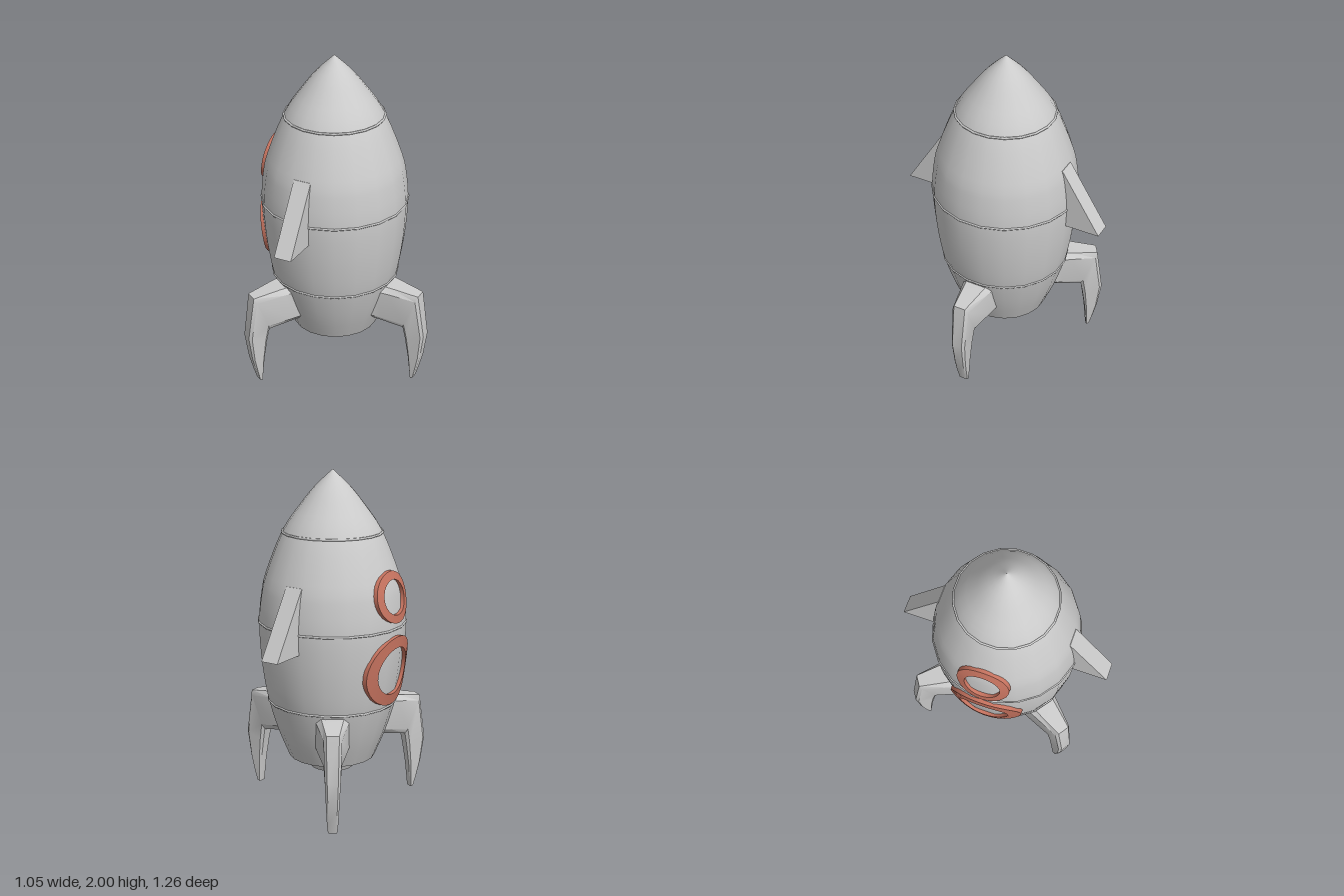
import * as THREE from 'three';
import { toCreasedNormals } from 'three/addons/utils/BufferGeometryUtils.js';

const SIDES = 20;
const HALF = Math.PI / SIDES; // turns a flat side towards the axes
const grey = new THREE.MeshStandardMaterial({ color: 0xcccccc });
const copper = new THREE.MeshStandardMaterial({ color: 0xc87460 });

// Hull outline: radius, height
const profile = new THREE.SplineCurve([
  [0.255, 0.3], [0.32, 0.46], [0.377, 0.65], [0.408, 0.82], [0.425, 0.98], [0.43, 1.13],
  [0.417, 1.27], [0.388, 1.4], [0.29, 1.645], [0.185, 1.8], [0.1, 1.905], [0, 2],
].map(([r, y]) => new THREE.Vector2(r, y))).getPoints(33);

function hullRadius(y) {
  const i = Math.max(1, profile.findIndex((p) => p.y >= y));
  const a = profile[i - 1], b = profile[i];
  return a.x + (b.x - a.x) * (y - a.y) / (b.y - a.y);
}

// Skin a row of equal cross-sections; a closed row joins its ends, an open one gets caps
function loft(rings, closed, crease) {
  const n = rings[0].length, count = rings.length, index = [];
  for (let i = 0; i < (closed ? count : count - 1); i++) {
    for (let j = 0; j < n; j++) {
      const k = (j + 1) % n, next = ((i + 1) % count) * n;
      const a = i * n + j, b = i * n + k, c = next + k, d = next + j;
      index.push(a, b, c, a, c, d);
    }
  }
  if (!closed) {
    const e = (count - 1) * n;
    for (let j = 1; j < n - 1; j++) index.push(0, j + 1, j, e, e + j, e + j + 1);
  }
  const geometry = new THREE.BufferGeometry();
  geometry.setAttribute('position', new THREE.Float32BufferAttribute(rings.flat(2), 3));
  geometry.setIndex(index);
  return toCreasedNormals(geometry, crease);
}

// Leg stations: outer x, y, inner x, y, half width
function legGeometry() {
  const stations = [
    [0.33, 0.635, 0.27, 0.405, 0.1],
    [0.4, 0.627, 0.34, 0.392, 0.085],
    [0.565, 0.6, 0.47, 0.365, 0.052],
    [0.605, 0.33, 0.485, 0.29, 0.044],
    [0.583, 0.17, 0.505, 0.16, 0.037],
    [0.557, 0.07, 0.515, 0.06, 0.032],
    [0.54, 0.012, 0.52, 0.005, 0.026],
  ];
  const section = [[1, -0.7], [1, 0.7], [0.87, 1], [0.13, 1], [0, 0.7], [0, -0.7], [0.13, -1], [0.87, -1]];
  return loft(stations.map(([ox, oy, ix, iy, w]) =>
    section.map(([u, v]) => [ix + (ox - ix) * u, iy + (oy - iy) * u, v * w])), false, 0.6);
}

// Porthole frame wrapped onto the hull on its -x side
function portholeGeometry(cy, ry, rz) {
  const section = [[0.68, 0.018], [1, 0.018], [1, -0.02], [0.68, -0.02]]; // scale, height above hull
  const rings = [];
  for (let i = 0; i < 32; i++) {
    const a = (i / 32) * Math.PI * 2;
    rings.push(section.map(([s, lift]) => {
      const y = cy + Math.sin(a) * ry * s, z = Math.cos(a) * rz * s;
      const r = hullRadius(y) + lift;
      return [-Math.sqrt(r * r - z * z), y, z];
    }));
  }
  return loft(rings, true, 0.6);
}

export function createModel() {
  const model = new THREE.Group();
  model.name = 'rocket';
  const rocket = new THREE.Group();
  rocket.name = 'rocketBody';
  rocket.position.x = -0.08;
  rocket.rotation.y = -0.047;
  model.add(rocket);

  const add = (name, geometry, material = grey) => {
    const mesh = new THREE.Mesh(geometry, material);
    mesh.name = name;
    rocket.add(mesh);
    return mesh;
  };

  // Hull, its flat base and the nozzle
  add('hull', new THREE.LatheGeometry(profile, SIDES, HALF));
  const base = add('hullBase', new THREE.CircleGeometry(0.255, SIDES, HALF));
  base.rotation.x = Math.PI / 2;
  base.position.y = 0.3;
  add('nozzle', new THREE.CylinderGeometry(0.163, 0.127, 0.085, SIDES, 1, false, HALF)).position.y = 0.2675;

  // Seam hoops
  for (const y of [0.65, 1.125, 1.645]) {
    const hoop = add('seamHoop', new THREE.TorusGeometry(hullRadius(y), 0.007, 6, SIDES).rotateZ(HALF));
    hoop.rotation.x = Math.PI / 2;
    hoop.position.y = y;
  }

  // Three landing legs
  const leg = legGeometry();
  for (const degrees of [0, 123.5, -123.5]) {
    add('landingLeg', leg).rotation.y = THREE.MathUtils.degToRad(degrees);
  }

  // Wedge fins at front and back
  const wedge = new THREE.Shape([[0.37, 1.01], [0.63, 1.01], [0.39, 1.385], [0.37, 1.385]]
    .map(([x, y]) => new THREE.Vector2(x, y)));
  const fin = new THREE.ExtrudeGeometry(wedge, { depth: 0.106, bevelEnabled: false });
  fin.translate(0, 0, -0.053);
  for (const side of [-1, 1]) {
    add(side < 0 ? 'frontFin' : 'backFin', fin).rotation.y = side * Math.PI / 2;
  }

  // Porthole frames
  add('upperPorthole', portholeGeometry(1.31, 0.146, 0.155), copper);
  add('lowerPorthole', portholeGeometry(0.88, 0.206, 0.22), copper);

  return model;
}
